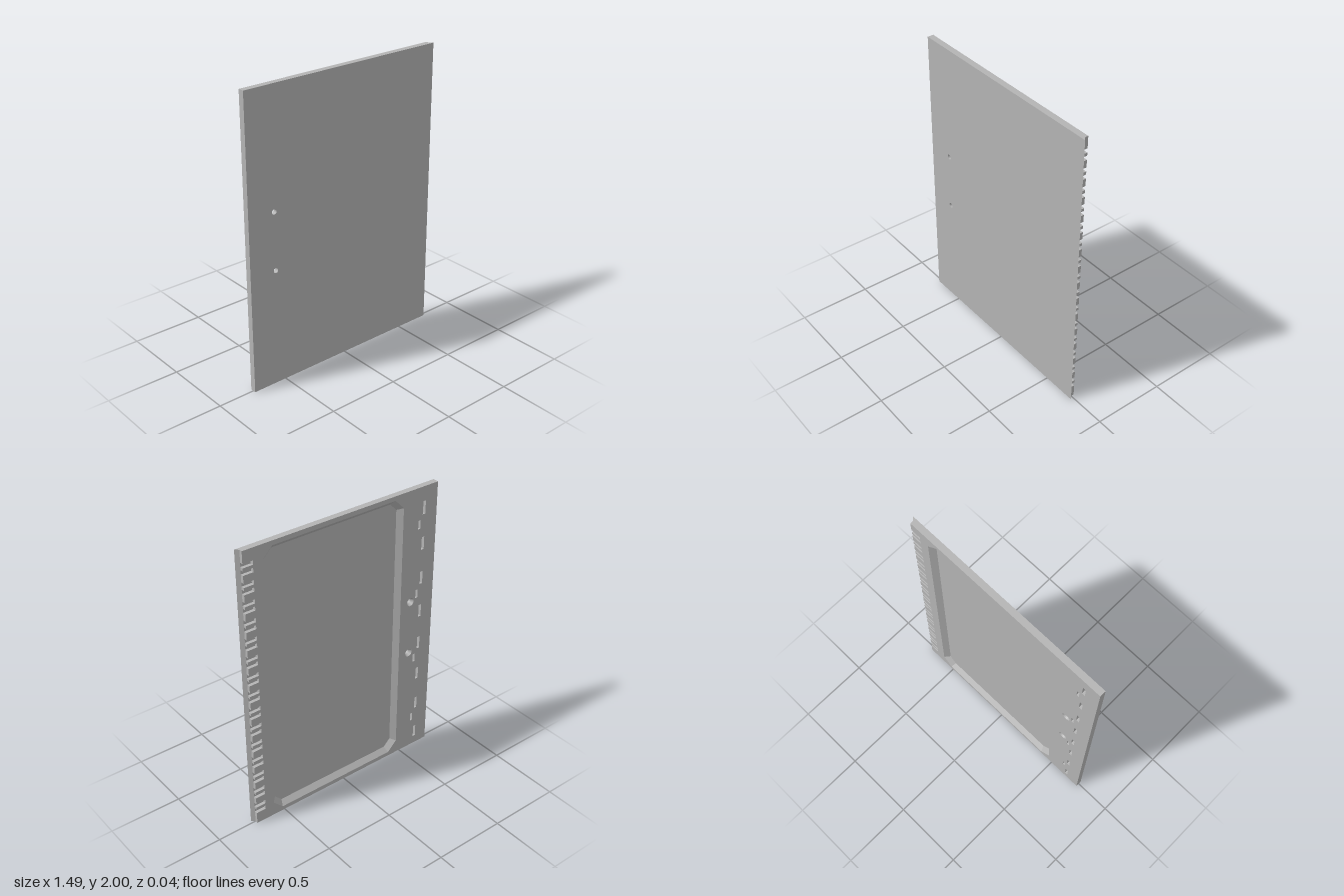
import * as THREE from 'three';

const LEFT = -0.745, RIGHT = 0.72, TOP = 2;
const BACK = -0.022, MID = 0, FLOOR = 0.011, FRONT = 0.02;
const HOLE_X = -0.554, HOLE_YS = [0.805, 1.2];
const HOLE_R = 0.017, SINK_R = 0.029;

// Octagonal pocket outline, shrunk by an inset on every side
function pocketPoints(d) {
  const x0 = -0.469 + d, x1 = 0.585 - d, y0 = 0.03 + d, y1 = 1.97 - d;
  const c = 0.07 - d * (2 - Math.SQRT2);
  return [[x0 + c, y0], [x1 - c, y0], [x1, y0 + c], [x1, y1 - c],
    [x1 - c, y1], [x0 + c, y1], [x0, y1 - c], [x0, y0 + c]].map(([x, y]) => new THREE.Vector2(x, y));
}

function rectHole(x, y, w, h) {
  return new THREE.Path([[-1, -1], [-1, 1], [1, 1], [1, -1]]
    .map(([i, j]) => new THREE.Vector2(x + i * w / 2, y + j * h / 2)));
}

function circleHole(x, y, r) {
  const p = new THREE.Path();
  p.absarc(x, y, r, 0, Math.PI * 2, true);
  return p;
}

// Panel outline, optionally with pairs of slots cut into the right edge
function outline(slotted) {
  const s = new THREE.Shape();
  s.moveTo(LEFT, 0);
  s.lineTo(RIGHT, 0);
  if (slotted) {
    for (let i = 0; i < 15; i++) {
      const y = 0.122 + i * 0.1257;
      for (const [a, b] of [[-0.0375, -0.01], [0.01, 0.0375]]) {
        s.lineTo(RIGHT, y + a);
        s.lineTo(0.65, y + a);
        s.lineTo(0.65, y + b);
        s.lineTo(RIGHT, y + b);
      }
    }
  }
  s.lineTo(RIGHT, TOP);
  s.lineTo(LEFT, TOP);
  s.closePath();
  return s;
}

export function createModel() {
  const group = new THREE.Group();
  const grey = new THREE.MeshStandardMaterial({ color: 0xb4b4b4, side: THREE.DoubleSide });
  grey.name = 'grey';

  const add = (name, geometry) => {
    const mesh = new THREE.Mesh(geometry, grey);
    mesh.name = name;
    group.add(mesh);
    return mesh;
  };
  const layer = (name, shape, z0, z1) => {
    const geo = new THREE.ExtrudeGeometry(shape, { depth: z1 - z0, bevelEnabled: false, curveSegments: 20 });
    add(name, geo.translate(0, 0, z0));
  };

  // Thin front skin, which is also the pocket floor
  const skin = outline(false);
  HOLE_YS.forEach(y => skin.holes.push(circleHole(HOLE_X, y, HOLE_R)));
  layer('frontSkin', skin, FLOOR, FRONT);

  // Core and slotted back layer, both open at the pocket
  const core = outline(false), back = outline(true);
  for (const [shape, r] of [[core, HOLE_R], [back, SINK_R]]) {
    shape.holes.push(new THREE.Path(pocketPoints(0).reverse()));
    HOLE_YS.forEach(y => shape.holes.push(circleHole(HOLE_X, y, r)));
  }
  // Long hinge slots and short ones between them
  for (let i = 0; i < 8; i++) back.holes.push(rectHole(-0.639, 0.105 + i * 0.25, 0.022, 0.09));
  for (let i = 0; i < 4; i++) back.holes.push(rectHole(-0.604, 0.245 + i * 0.5, 0.018, 0.06));
  layer('core', core, MID, FLOOR);
  layer('slottedBack', back, BACK, MID);

  // Sloping walls of the pocket
  const outer = pocketPoints(0), inner = pocketPoints(FLOOR - BACK);
  const pos = [];
  outer.forEach((a, i) => {
    const j = (i + 1) % outer.length, b = outer[j], c = inner[j], d = inner[i];
    const A = [a.x, a.y, BACK], B = [b.x, b.y, BACK], C = [c.x, c.y, FLOOR], D = [d.x, d.y, FLOOR];
    pos.push(...A, ...C, ...B, ...A, ...D, ...C);
  });
  const walls = new THREE.BufferGeometry();
  walls.setAttribute('position', new THREE.Float32BufferAttribute(pos, 3));
  walls.computeVertexNormals();
  add('pocketWalls', walls);

  // Countersinks around the screw holes
  HOLE_YS.forEach(y => {
    const cone = new THREE.LatheGeometry([new THREE.Vector2(SINK_R, BACK), new THREE.Vector2(HOLE_R, MID)], 32);
    add('countersink', cone.rotateX(Math.PI / 2).translate(HOLE_X, y, 0));
  });

  // Bevelled lip along the right edge
  const lip = new THREE.Shape([new THREE.Vector2(RIGHT, -MID), new THREE.Vector2(RIGHT, -FRONT), new THREE.Vector2(0.742, -FRONT)]);
  const lipGeo = new THREE.ExtrudeGeometry(lip, { depth: TOP, bevelEnabled: false });
  add('bevelledLip', lipGeo.rotateX(-Math.PI / 2));

  return group;
}
